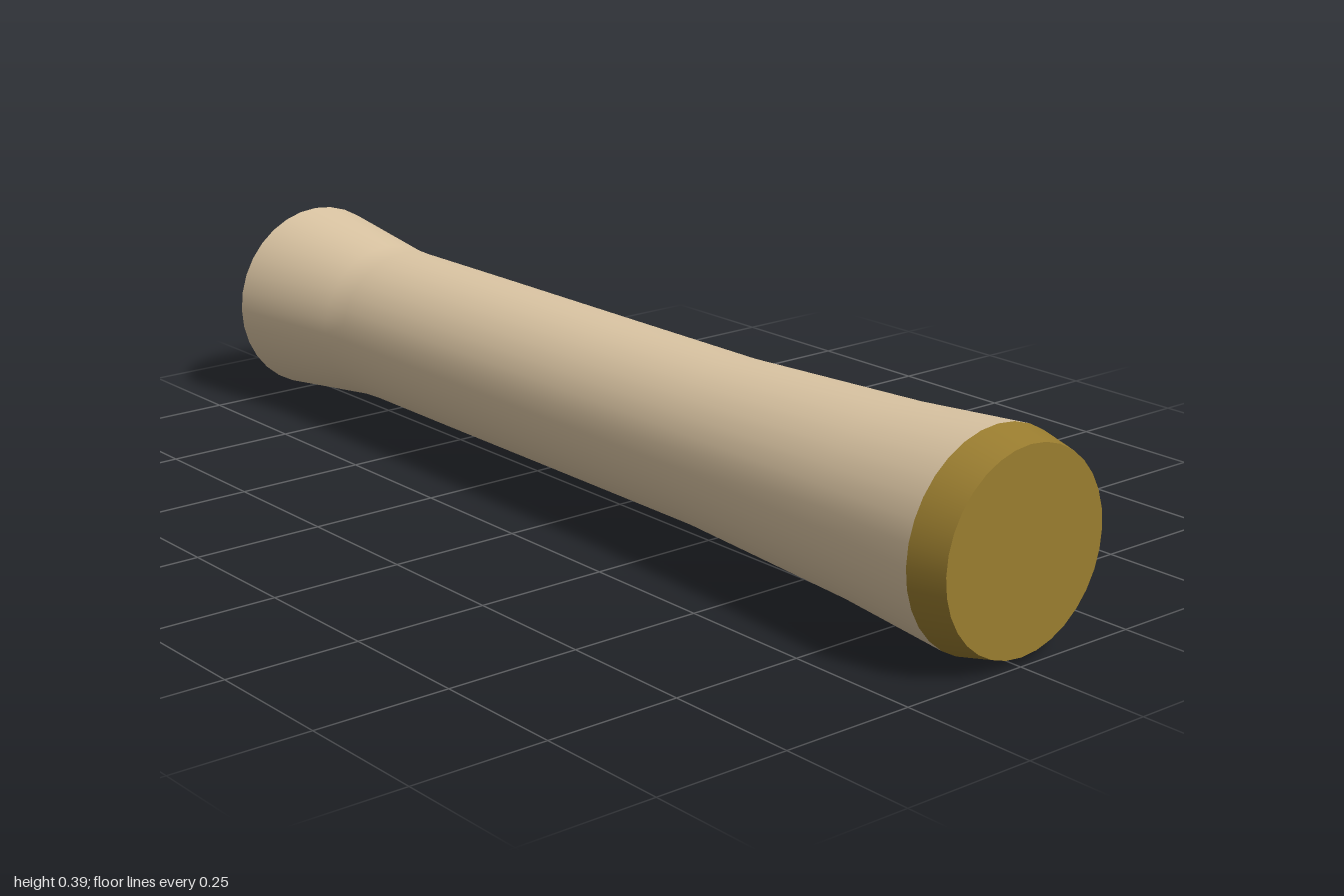
import * as THREE from 'three';

const SIDES = 32;
const AXIS_Y = 0.193;

export function createModel() {
  const model = new THREE.Group();
  model.name = 'handle';

  const wood = new THREE.MeshStandardMaterial({ color: 0xdcc6a4 });
  wood.name = 'pale wood';
  const brass = new THREE.MeshStandardMaterial({ color: 0x9a7d2f });
  brass.name = 'dark gold';

  const add = (name, geometry, material) => {
    const mesh = new THREE.Mesh(geometry, material);
    mesh.name = name;
    mesh.position.y = AXIS_Y;
    model.add(mesh);
    return mesh;
  };

  // Turned surface along x from [x, radius] pairs
  const turned = (profile) =>
    new THREE.LatheGeometry(profile.map(([x, r]) => new THREE.Vector2(r, x)), SIDES)
      .rotateZ(-Math.PI / 2);

  // Flat end disc facing +x (dir 1) or -x (dir -1)
  const disc = (radius, dir) =>
    new THREE.CircleGeometry(radius, SIDES).rotateY(dir * Math.PI / 2);

  // Grip: flared at one end, slim in the middle, swelling towards the cap
  add('grip', turned([
    [-1, 0.187], [-0.74, 0.155], [-0.68, 0.153], [-0.43, 0.154],
    [0, 0.155], [0.3, 0.156], [0.7, 0.174], [0.93, 0.193],
  ]), wood);
  add('gripEnd', disc(0.187, -1), wood).position.x = -1;

  // Bevelled end cap
  add('capBevel', turned([[0.93, 0.193], [1, 0.177]]), brass);
  add('capFace', disc(0.177, 1), brass).position.x = 1;

  return model;
}
